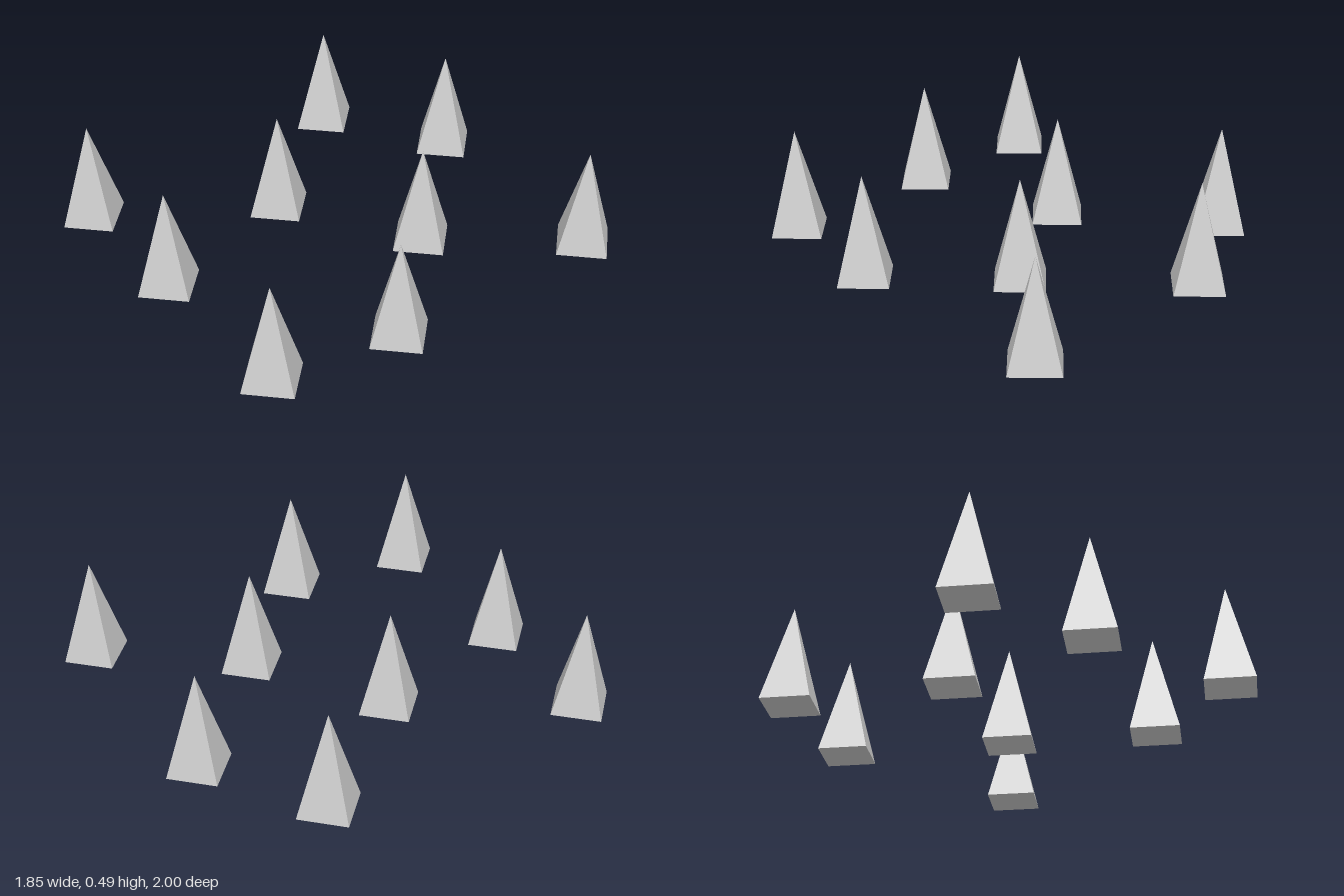
import * as THREE from 'three';

const RADIUS = 0.162;
const HEIGHT = 0.488;

// ground positions [x, z] of the spikes
const SPOTS = [
  [-0.24, -0.838], [0.762, -0.838], [-0.764, -0.502],
  [0.293, -0.264], [-0.307, 0.106], [0.762, 0.238],
  [-0.764, 0.838], [-0.127, 0.838], [0.662, 0.838],
];

export function createModel() {
  const group = new THREE.Group();
  group.name = 'spikeField';
  const material = new THREE.MeshStandardMaterial({ color: 0xcccccc, flatShading: true });

  // four-sided pyramid with closed base, corners pointing along the axes
  const spike = new THREE.ConeGeometry(RADIUS, HEIGHT, 4);
  spike.translate(0, HEIGHT / 2, 0);

  SPOTS.forEach(([x, z], i) => {
    const mesh = new THREE.Mesh(spike, material);
    mesh.name = `spike${i + 1}`;
    mesh.position.set(x, 0, z);
    group.add(mesh);
  });
  return group;
}
